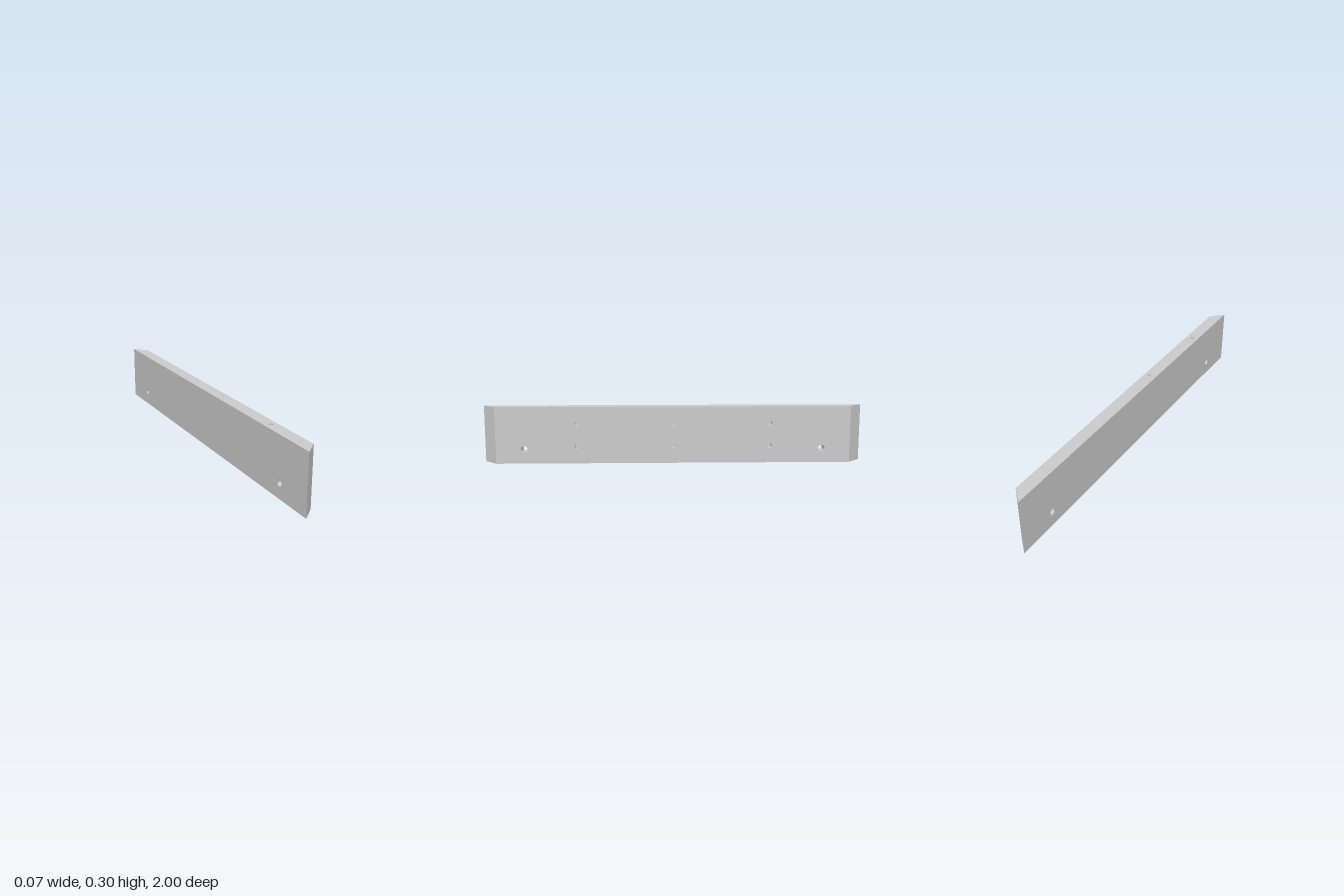
import * as THREE from 'three';

const H = 0.3;          // board height
const T = 0.0335;       // half thickness
const LONG = 1;         // half length of the -x face
const SHORT = LONG - 2 * T; // half length of the +x face (45 degree mitres)
const material = new THREE.MeshStandardMaterial({ color: 0xcccccc });

// Flat panel from corner points, pierced by round holes [u, v, radius]
function panel(name, corners, holes = []) {
  const shape = new THREE.Shape(corners.map(([u, v]) => new THREE.Vector2(u, v)));
  for (const [u, v, r] of holes) {
    shape.holes.push(new THREE.Path().absarc(u, v, r, 0, Math.PI * 2, true));
  }
  const mesh = new THREE.Mesh(new THREE.ShapeGeometry(shape, 12), material);
  mesh.name = name;
  return mesh;
}

// Inward-facing bore running down -y from its mouth, with a flat floor if blind
function bore(name, r, depth, blind) {
  const pts = [[r, 0], [r, -depth]];
  if (blind) pts.push([r, -depth], [0, -depth]);
  const geo = new THREE.LatheGeometry(pts.map(([x, y]) => new THREE.Vector2(x, y)), 24);
  const mesh = new THREE.Mesh(geo, material);
  mesh.name = name;
  return mesh;
}

const rect = (w, y0, y1) => [[-w, y0], [w, y0], [w, y1], [-w, y1]];

export function createModel() {
  const group = new THREE.Group();
  group.name = 'mitredBoard';

  // Hole layouts
  const through = [-0.783, 0.783].map(z => [z, 0.076, 0.017]);
  const side = [-0.507, 0, 0.507].flatMap(z => [0.09, 0.21].map(y => [z, y, 0.0125]));
  const top = [-0.64, -0.16, 0.16, 0.64].map(z => [0, z, 0.0125]);

  // Broad faces
  const shortFace = panel('shortFace', rect(SHORT, 0, H), [...through, ...side]);
  shortFace.rotation.y = Math.PI / 2;
  shortFace.position.x = T;
  const longFace = panel('longFace', rect(LONG, 0, H), through);
  longFace.rotation.y = -Math.PI / 2;
  longFace.position.x = -T;

  // Top and bottom edges
  const outline = [[-T, -LONG], [T, -SHORT], [T, SHORT], [-T, LONG]];
  const topEdge = panel('topEdge', outline, top);
  topEdge.rotation.x = -Math.PI / 2;
  topEdge.position.y = H;
  const bottomEdge = panel('bottomEdge', outline);
  bottomEdge.rotation.x = Math.PI / 2;
  group.add(shortFace, longFace, topEdge, bottomEdge);

  // Mitred ends
  for (const s of [1, -1]) {
    const end = panel('mitredEnd', rect(T * Math.SQRT2, 0, H));
    end.rotation.y = s > 0 ? Math.PI / 4 : Math.PI * 3 / 4;
    end.position.z = s * (LONG + SHORT) / 2;
    group.add(end);
  }

  // Bores entering from the short face: through bolt holes and blind dowel holes
  for (const [list, blind] of [[through, false], [side, true]]) {
    for (const [z, y, r] of list) {
      const hole = bore(blind ? 'sideDowelHole' : 'boltHole', r, blind ? 0.045 : 2 * T, blind);
      hole.rotation.z = -Math.PI / 2;
      hole.position.set(T, y, z);
      group.add(hole);
    }
  }

  // Blind dowel holes in the top edge
  for (const [x, z, r] of top) {
    const hole = bore('topDowelHole', r, 0.1, true);
    hole.position.set(x, H, z);
    group.add(hole);
  }
  return group;
}
